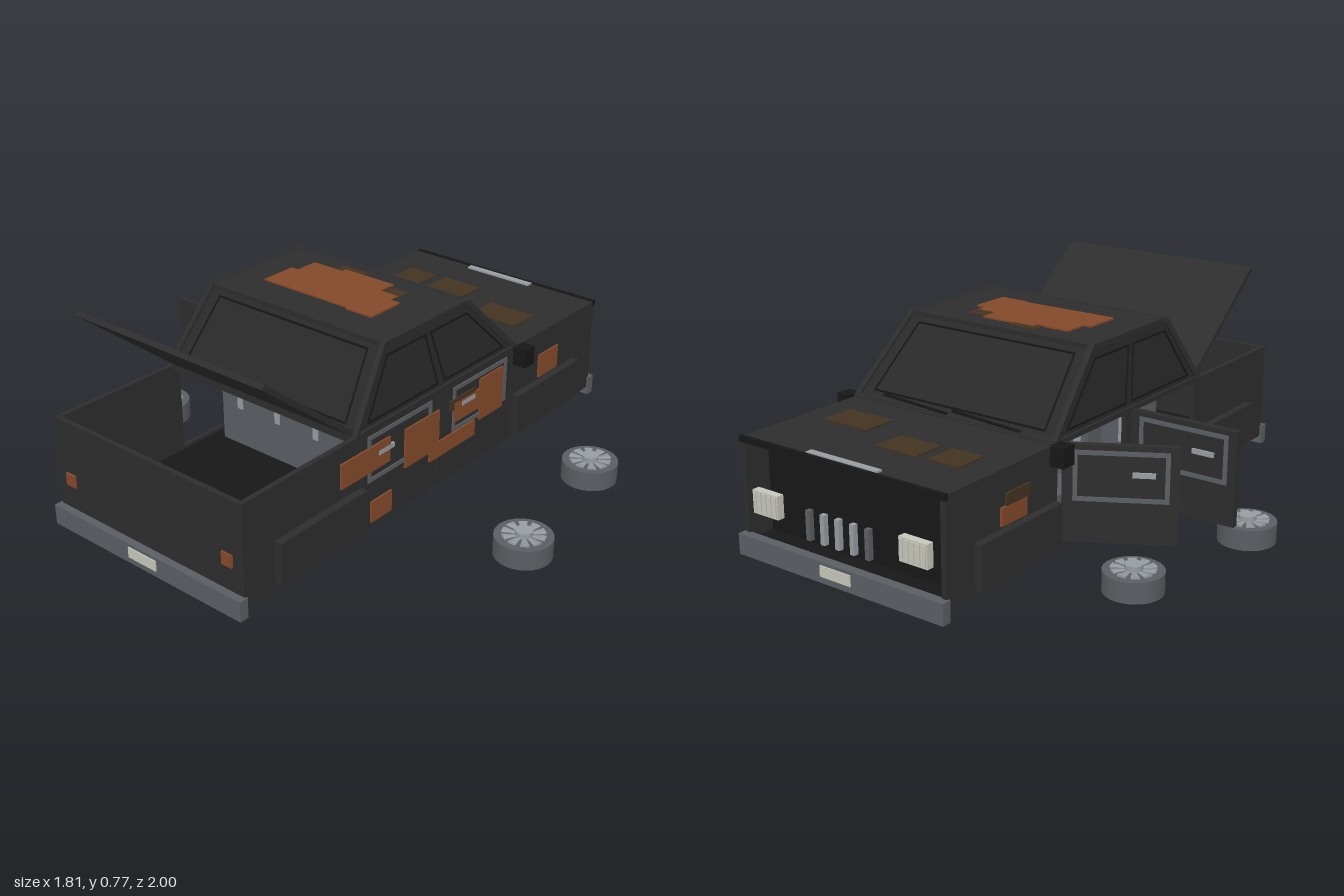
import * as THREE from 'three';

const mat = (name, color, side = THREE.FrontSide) =>
  Object.assign(new THREE.MeshStandardMaterial({ color, side }), { name });

export function createModel() {
  const M = {
    body: mat('charcoal paint', 0x2d2d2d),
    glass: mat('dark glass', 0x282828, THREE.DoubleSide),
    black: mat('black trim', 0x171717),
    rust: mat('rust', 0x84492a),
    brown: mat('old rust', 0x423322),
    steel: mat('grey steel', 0x5a5d62),
    alloy: mat('light alloy', 0x979ca2),
    lamp: mat('pale lamp', 0xc6c6ba),
  };
  const car = new THREE.Group();
  car.name = 'wreckedCar';
  const CX = -0.022; // the body sits slightly off centre

  const add = (name, geo, m, parent = car) => {
    const mesh = new THREE.Mesh(geo, m);
    mesh.name = name;
    parent.add(mesh);
    return mesh;
  };
  // box given by its min and max on each axis
  const box = (name, m, x0, x1, y0, y1, z0, z1, parent = car) => {
    const b = add(name, new THREE.BoxGeometry(x1 - x0, y1 - y0, z1 - z0), m, parent);
    b.position.set((x0 + x1) / 2, (y0 + y1) / 2, (z0 + z1) / 2);
    return b;
  };
  // square bar between two points
  const bar = (name, m, a, b, w) => {
    const A = new THREE.Vector3(...a), B = new THREE.Vector3(...b);
    const r = add(name, new THREE.BoxGeometry(w, w, A.distanceTo(B) + w * 0.6), m);
    r.position.copy(A).lerp(B, 0.5);
    r.lookAt(B);
    return r;
  };

  // Lower shell: floor, side walls, tail, hood, nose bulkhead
  box('floor', M.black, -0.44, 0.395, 0.075, 0.095, -0.968, 0.968);
  box('tailPanel', M.body, -0.44, 0.395, 0.075, 0.44, 0.95, 0.968);
  box('hood', M.body, -0.44, 0.395, 0.425, 0.44, -0.968, -0.43);
  box('noseBulkhead', M.black, -0.43, 0.385, 0.09, 0.43, -0.87, -0.86);
  box('cowl', M.body, -0.44, 0.395, 0.42, 0.445, -0.45, -0.41);
  box('rearDeck', M.body, -0.44, 0.395, 0.42, 0.445, 0.42, 0.46);
  for (const s of [-1, 1]) {
    const xo = CX + s * 0.42, xi = CX + s * 0.402;
    const wall = (n, y0, y1, z0, z1) =>
      box(n, M.body, Math.min(xo, xi), Math.max(xo, xi), y0, y1, z0, z1);
    wall('rearQuarter', 0.075, 0.44, 0.43, 0.968);
    wall('frontFender', 0.075, 0.44, -0.968, -0.42);
    wall('sill', 0.075, 0.108, -0.42, 0.43);
    wall('doorPost', 0.108, 0.44, -0.025, 0.02);
    // Blank panels over the wheel openings
    for (const z of [-0.633, 0.63]) {
      const x0 = CX + s * 0.415, x1 = CX + s * 0.448;
      box('wheelPanel', M.body, Math.min(x0, x1), Math.max(x0, x1), 0.095, 0.25, z - 0.203, z + 0.203);
    }
    // Mirrors
    const mx = CX + s * 0.452;
    box('mirror', M.black, mx - 0.026, mx + 0.026, 0.38, 0.447, -0.47, -0.41);
  }

  // Doors: local z runs back from the hinge, the outer face is on side s
  const door = (name, s, len, x, z, turn) => {
    const g = new THREE.Group();
    g.name = name;
    const f = (n, m, t, y0, y1, z0, z1) => {
      const a = s * 0.008, b = s * (0.012 + t);
      box(n, m, Math.min(a, b), Math.max(a, b), y0, y1, z0, z1, g);
    };
    box('doorSkin', M.body, -0.012, 0.012, 0.108, 0.438, 0, len, g);
    const z0 = 0.035, z1 = len - 0.03;
    f('frameTop', M.steel, 0.004, 0.405, 0.42, z0, z1);
    f('frameBottom', M.steel, 0.004, 0.25, 0.265, z0, z1);
    f('frameFront', M.steel, 0.004, 0.265, 0.405, z0, z0 + 0.015);
    f('frameRear', M.steel, 0.004, 0.265, 0.405, z1 - 0.015, z1);
    f('doorHandle', M.alloy, 0.008, 0.335, 0.352, len * 0.6, len * 0.8);
    g.position.set(x, 0, z);
    g.rotation.y = turn;
    car.add(g);
  };
  door('leftFrontDoor', 1, 0.385, 0.386, -0.415, 0);
  door('leftRearDoor', 1, 0.4, 0.386, 0.025, 0);
  door('rightFrontDoor', -1, 0.37, -0.445, -0.4, -1.047);
  door('rightRearDoor', -1, 0.4, -0.44, 0.022, -Math.PI / 2);

  // Cabin: tapered glasshouse without a bottom, with bars along its edges
  const P = (s, top, z) => [CX + s * (top ? 0.38 : 0.415), top ? 0.69 : 0.44, z];
  const c = [P(-1, 0, 0.45), P(1, 0, 0.45), P(1, 0, -0.43), P(-1, 0, -0.43),
    P(-1, 1, 0.27), P(1, 1, 0.27), P(1, 1, -0.175), P(-1, 1, -0.175)];
  const faces = [[0, 1, 5, 4], [1, 2, 6, 5], [2, 3, 7, 6], [3, 0, 4, 7]];
  const verts = faces.flatMap(([a, b, d, e]) => [a, b, d, a, d, e].flatMap(i => c[i]));
  const cabin = new THREE.BufferGeometry();
  cabin.setAttribute('position', new THREE.Float32BufferAttribute(verts, 3));
  cabin.computeVertexNormals();
  add('windows', cabin, M.glass);
  box('roof', M.body, CX - 0.38, CX + 0.38, 0.68, 0.696, -0.175, 0.27);
  for (let i = 0; i < 4; i++) {
    bar('windowSill', M.body, c[i], c[(i + 1) % 4], 0.018);
    bar('roofRail', M.body, c[i + 4], c[(i + 1) % 4 + 4], 0.016);
    bar('pillar', M.body, c[i], c[i + 4], 0.02);
  }
  // Thin black seals set inside each window
  const seal = (pts, n) => pts.forEach((p, i) => bar(n, M.black, p, pts[(i + 1) % pts.length], 0.006));
  for (const s of [-1, 1]) {
    const w = (y, z) => [CX + s * (0.416 - 0.14 * (y - 0.44)), y, z];
    seal([w(0.465, 0.385), w(0.465, 0.02), w(0.65, 0.06), w(0.65, 0.26)], 'rearSideSeal');
    seal([w(0.465, -0.02), w(0.465, -0.36), w(0.65, -0.17), w(0.65, 0.03)], 'frontSideSeal');
  }
  for (const [zb, zt, n] of [[0.45, 0.27, 'rearWindowSeal'], [-0.43, -0.175, 'windshieldSeal']]) {
    const w = (x, t) => [CX + x, 0.44 + 0.25 * t, zb + (zt - zb) * t];
    seal([w(-0.36, 0.1), w(0.36, 0.1), w(0.33, 0.9), w(-0.33, 0.9)], n);
  }
  bar('wiper', M.black, [-0.3, 0.452, -0.43], [-0.02, 0.462, -0.42], 0.008);
  bar('wiper', M.black, [0.0, 0.452, -0.43], [0.28, 0.462, -0.42], 0.008);

  // Raised trunk lid
  const lid = add('trunkLid', new THREE.BoxGeometry(0.815, 0.018, 0.512), M.body);
  lid.position.set(CX, 0.608, 0.648);
  lid.rotation.x = -Math.atan2(0.32, 0.4);

  // Bumpers, plates and lamps
  for (const s of [-1, 1]) {
    const z = s * 0.978;
    box('bumper', M.steel, -0.45, 0.405, 0.045, 0.117, z - 0.017, z + 0.017);
    const p = s * 0.996;
    box('numberPlate', M.lamp, -0.087, 0.04, 0.068, 0.106, p - 0.003, p + 0.003);
    const x = CX + s * 0.356;
    box('tailLamp', M.rust, x - 0.022, x + 0.022, 0.205, 0.25, 0.962, 0.975);
    const h = CX + s * 0.307;
    box('headlamp', M.lamp, h - 0.055, h + 0.055, 0.2, 0.28, -0.982, -0.955);
    for (let i = 0; i < 5; i++)
      box('headlampRib', M.lamp, h - 0.05 + i * 0.022, h - 0.038 + i * 0.022, 0.205, 0.275, -0.986, -0.98);
  }
  box('grilleBack', M.black, -0.17, 0.125, 0.16, 0.27, -0.962, -0.955);
  for (let i = 0; i < 5; i++) {
    const x = -0.145 + i * 0.0615;
    box('grilleBar', i % 4 ? M.alloy : M.steel, x - 0.009, x + 0.009, 0.165, 0.265, -0.98, -0.955);
  }
  box('noseLip', M.black, -0.445, 0.4, 0.425, 0.445, -0.972, -0.958);
  box('hoodStrip', M.alloy, -0.17, 0.12, 0.438, 0.447, -0.955, -0.93);

  // Seats
  const seat = (n, x0, x1, z) => {
    box(n + 'Cushion', M.steel, x0, x1, 0.09, 0.22, z - 0.25, z);
    box(n + 'Back', M.steel, x0, x1, 0.09, 0.43, z - 0.08, z);
    for (let i = 0; i < 4; i++) {
      const x = x0 + (x1 - x0) * (i + 0.5) / 4;
      box(n + 'Rib', M.alloy, x - 0.012, x + 0.012, 0.24, 0.41, z - 0.086, z + 0.004);
    }
  };
  seat('rearSeat', -0.38, 0.335, 0.27);
  seat('frontSeat', -0.38, -0.06, -0.08);
  seat('frontSeat', 0.02, 0.335, -0.08);

  // Rust on the sides: z0, z1, y0, y1
  const sideRust = [[0.285, 0.53, 0.29, 0.38], [0.02, 0.205, 0.225, 0.37], [-0.19, 0.07, 0.188, 0.247],
    [-0.215, -0.065, 0.285, 0.36], [-0.355, -0.215, 0.235, 0.395], [-0.715, -0.59, 0.26, 0.35],
    [0.275, 0.38, 0.097, 0.175]];
  for (const [z0, z1, y0, y1] of sideRust) box('sideRust', M.rust, 0.396, 0.405, y0, y1, z0, z1);
  box('sideOldRust', M.brown, 0.396, 0.404, 0.335, 0.375, -0.19, -0.04);
  box('sideRust', M.rust, -0.451, -0.442, 0.225, 0.37, 0.08, 0.205);
  box('sideRust', M.rust, -0.451, -0.442, 0.26, 0.32, -0.715, -0.59);
  box('sideOldRust', M.brown, -0.45, -0.441, 0.32, 0.36, -0.69, -0.57);

  // Rust on the roof and hood: x0, x1, z0, z1
  for (const [x0, x1, z0, z1] of [[-0.28, 0.165, 0, 0.14], [0.1, 0.21, 0, 0.15], [-0.25, 0.17, -0.04, 0.01],
    [-0.25, 0.095, -0.09, -0.03], [-0.12, 0.095, -0.11, -0.08]])
    box('roofRust', M.rust, x0, x1, 0.694, 0.702, z0, z1);
  for (const [x0, x1, z0, z1] of [[-0.15, -0.04, -0.138, -0.09], [0.09, 0.175, -0.09, 0]])
    box('roofOldRust', M.brown, x0, x1, 0.693, 0.7, z0, z1);
  for (const [x0, x1, z0, z1] of [[-0.34, -0.217, -0.78, -0.66], [-0.175, -0.01, -0.785, -0.665],
    [0.11, 0.3, -0.695, -0.57]])
    box('hoodOldRust', M.brown, x0, x1, 0.438, 0.446, z0, z1);

  // Loose wheels lying flat on the ground
  const spoke = new THREE.CylinderGeometry(0.021, 0.008, 0.046, 4, 1);
  spoke.rotateY(Math.PI / 4).scale(1, 1, 0.4).translate(0, 0.05, 0).rotateX(Math.PI / 2);
  for (const [x, z] of [[-0.71, -0.385], [-0.805, 0.18], [0.71, -0.48], [0.805, 0.085]]) {
    const w = new THREE.Group();
    w.name = 'looseWheel';
    add('tyre', new THREE.CylinderGeometry(0.1, 0.1, 0.072, 28), M.steel, w).position.y = 0.036;
    add('hub', new THREE.CylinderGeometry(0.03, 0.03, 0.03, 16), M.alloy, w).position.y = 0.077;
    for (let i = 0; i < 10; i++) {
      const sp = add('spoke', spoke, M.alloy, w);
      sp.position.y = 0.073;
      sp.rotation.y = i * Math.PI / 5;
    }
    w.position.set(x, 0, z);
    car.add(w);
  }
  return car;
}
